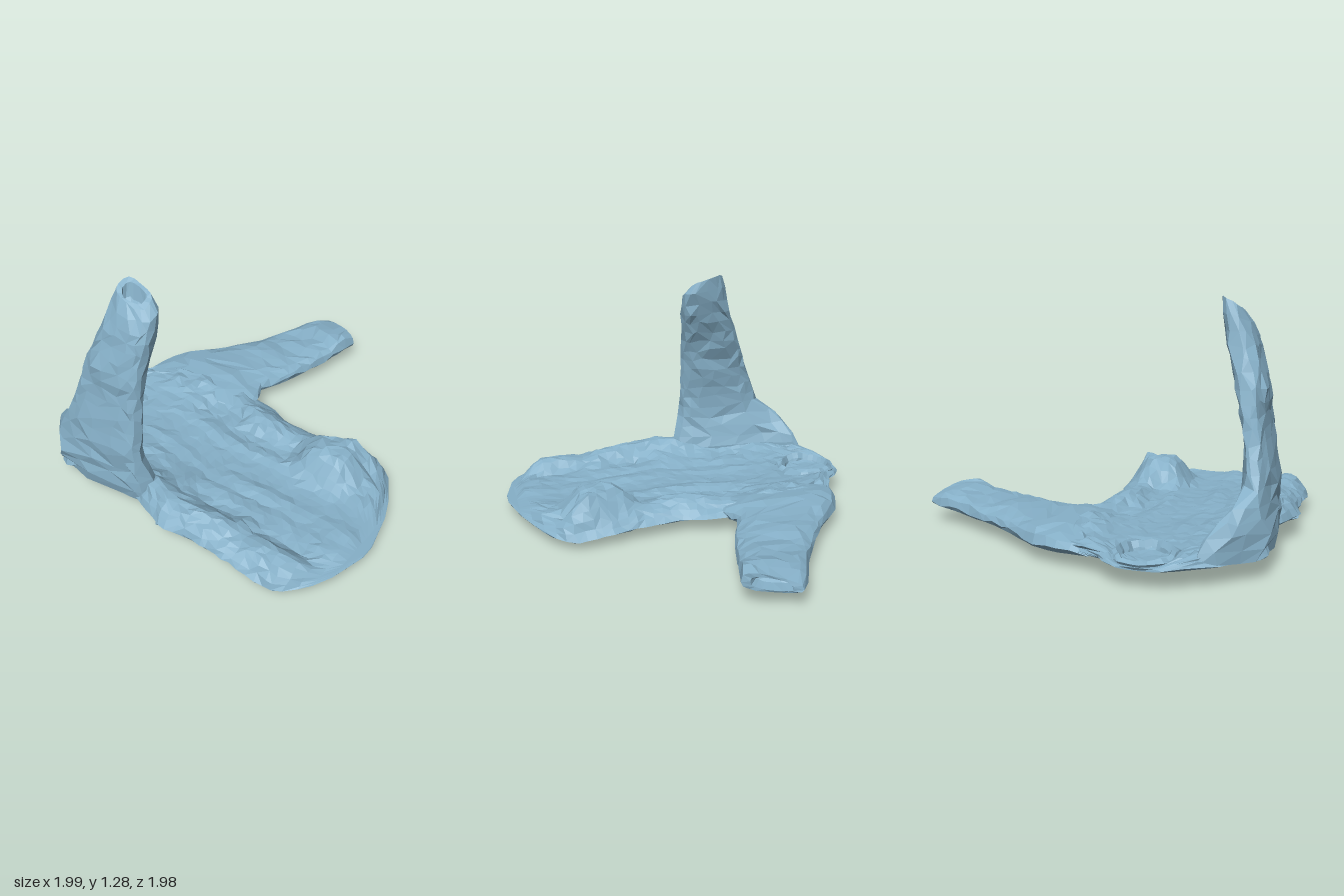
import * as THREE from 'three';

const cloth = new THREE.MeshStandardMaterial({ color: 0x86b0c8, flatShading: true, side: THREE.DoubleSide });
const { lerp, smoothstep } = THREE.MathUtils;

// Repeatable pseudo-random value and smooth noise for the creases
const hash = (i, j) => {
  const s = Math.sin(i * 127.1 + j * 311.7) * 43758.5453;
  return s - Math.floor(s);
};
function noise(x, y) {
  const i = Math.floor(x), j = Math.floor(y), fx = x - i, fy = y - j;
  return lerp(lerp(hash(i, j), hash(i + 1, j), fx), lerp(hash(i, j + 1), hash(i + 1, j + 1), fx), fy) * 2 - 1;
}
const jitter = (i, j) => hash(i + 0.3, j + 0.7) * 2 - 1;
const bump = (x, z, cx, cz, rx, rz, p = 2) =>
  Math.exp(-(Math.abs((x - cx) / rx) ** p) - Math.abs((z - cz) / rz) ** p);

// Interpolate the columns of a table whose first column is the key
function sample(table, k) {
  let i = 0;
  while (i < table.length - 2 && k > table[i + 1][0]) i++;
  const a = table[i], b = table[i + 1];
  const f = Math.min(1, Math.max(0, (k - a[0]) / (b[0] - a[0])));
  return a.map((v, c) => lerp(v, b[c], f));
}

// Skin closed cross-sections, optionally joining the last to the first
function loft(name, rings, loop = false) {
  const n = rings[0].length, idx = [];
  const last = loop ? rings.length : rings.length - 1;
  for (let r = 0; r < last; r++) {
    const s = (r + 1) % rings.length;
    for (let i = 0; i < n; i++) {
      const j = (i + 1) % n;
      const a = r * n + i, b = r * n + j, c = s * n + j, d = s * n + i;
      if (hash(r, i) > 0.5) idx.push(a, d, b, b, d, c);
      else idx.push(a, d, c, a, c, b);
    }
  }
  const geo = new THREE.BufferGeometry();
  geo.setAttribute('position', new THREE.Float32BufferAttribute(rings.flat(2), 3));
  geo.setIndex(idx);
  geo.computeVertexNormals();
  const mesh = new THREE.Mesh(geo, cloth);
  mesh.name = name;
  return mesh;
}

// Body outline: z, right edge x, left edge x, underside y, upper y
const BODY = [
  [-0.99, -0.54, -0.32, 0.095, 0.11], [-0.95, -0.61, -0.25, 0.085, 0.135],
  [-0.87, -0.74, -0.18, 0.075, 0.145], [-0.81, -0.80, 0.02, 0.07, 0.14],
  [-0.66, -0.95, 0.14, 0.06, 0.135], [-0.45, -0.91, 0.15, 0.055, 0.125],
  [-0.20, -0.91, 0.13, 0.045, 0.12], [-0.10, -0.94, 0.10, 0.04, 0.12],
  [0.05, -1.0, 0.08, 0.035, 0.12], [0.25, -0.97, 0.07, 0.02, 0.115],
  [0.50, -0.96, 0.11, 0.008, 0.115], [0.70, -0.96, 0.115, 0.00, 0.115],
  [0.78, -0.94, 0.06, 0.01, 0.12], [0.86, -0.86, -0.06, 0.035, 0.12],
  [0.92, -0.78, -0.18, 0.05, 0.12], [0.97, -0.65, -0.32, 0.07, 0.11], [0.99, -0.54, -0.44, 0.078, 0.09],
];

// Height of the upper cloth: raised sides, folds, neck hollow and front hem
function upperY(x, z, base) {
  const edge = smoothstep(Math.abs(x + 0.42), 0.16, 0.4);
  const back = smoothstep(z + 0.98, 0, 0.15);
  const sag = 0.03 * noise(z * 5, 12);
  let y = base + back * (
    0.145 * bump(x, z, -0.12, 0.53, 0.14, 0.17, 4)
    + 0.08 * bump(x, z, 0.03, 0.62, 0.06, 0.13, 4)
    + 0.06 * bump(x, z, -0.02 + sag, 0.18, 0.1, 0.26, 4)
    + 0.04 * bump(x, z, 0.08, -0.3, 0.15, 0.3, 4)
    + 0.12 * bump(x, z, -0.88, -0.60, 0.11, 0.18)
    + 0.10 * bump(x, z, -0.86, -0.16, 0.13, 0.2)
    + 0.08 * bump(x, z, -0.90 + sag, 0.2, 0.13, 0.32, 4)
    + 0.07 * bump(x, z, -0.86 + sag, 0.66, 0.1, 0.14, 4)
    + 0.012 * edge
    + (0.006 + 0.026 * edge) * noise(x * 7 + 3, z * 5 + 5)
    + 0.016 * edge * noise(x * 14 + z * 5, z * 9));
  // Long soft folds down the front
  const wander = 0.03 * noise(z * 3, 2);
  for (const fx of [-0.62, -0.5, -0.26, -0.15])
    y += (0.012 + 0.014 * noise(z * 3, fx * 40)) * bump(x, 0, fx + wander, 0, 0.045, 1) * smoothstep(z, -0.6, -0.4);
  const neck = bump(x, z, -0.415, -0.81, 0.14, 0.16, 6);
  const hem = smoothstep(0.925 - 0.5 * (x + 0.45) ** 2 - z, -0.01, 0.035);
  return lerp(0.088, lerp(y, 0.095, neck), hem);
}

function makeBody() {
  const rings = [], across = 30, under = 12, rows = 40;
  for (let r = 0; r <= rows; r++) {
    const z = lerp(-0.99, 0.99, r / rows), ring = [];
    const [, x0, x1, lo, hi] = sample(BODY, z);
    const loose = smoothstep(z, -0.97, -0.85) * smoothstep(0.9 - z, 0, 0.15);
    const high = 0.045 * smoothstep(z, -0.75, -0.5) * smoothstep(0.75 - z, 0, 0.3);
    const at = (u, top, i) => {
      const side = smoothstep(Math.abs(u), 0.25, 0.7), a = Math.abs(u);
      const x = lerp(x0, x1, (u + 1) / 2)
        + loose * (0.01 * jitter(r, i) - Math.sign(u) * 0.01 * a * noise(z * 9, u > 0 ? 8 : 3));
      const mid = lerp(lo, hi, 0.45) + (u < 0 ? high : high * 0.4);
      const floor = lo + loose * 0.004 * (1 + jitter(i, r));
      const crumple = loose * (0.003 + 0.007 * side) * jitter(r + 5, i * 3);
      const y = top ? lerp(mid, upperY(x, z, hi) + crumple, 1 - a ** 8) : lerp(floor, mid, a ** 5);
      ring.push([x, Math.max(0, y), z + loose * 0.012 * jitter(i, r + 2)]);
    };
    for (let i = 0; i <= across; i++)
      at(-Math.cos((i / across) * Math.PI) * 0.35 + (i / across * 2 - 1) * 0.65, true, i);
    for (let i = under - 1; i > 0; i--) at(Math.sin((i / under - 0.5) * Math.PI), false, i + 60);
    rings.push(ring);
  }
  return loft('shirtBody', rings);
}

// Flattened tube through stations, its open end turned inside at the cuff
function makeSleeve(name, table, place, steps) {
  const n = 16, rings = [];
  const first = table[0][0], end = table[table.length - 1][0];
  const add = (k, scale, rough) => {
    const ring = [], row = rings.length;
    for (let i = 0; i < n; i++) {
      const a = ((i + rough * jitter(i, row)) / n) * Math.PI * 2, c = Math.cos(a), d = Math.sin(a);
      const s = sample(table, k + rough * 0.04 * jitter(row, i));
      const crease = 1 + rough * (0.5 * noise(i * 0.6 + 4, row * 0.5) + 0.4 * jitter(i + 9, row));
      const u = Math.sign(c) * Math.abs(c) ** 0.8 * scale;
      const v = Math.sign(d) * Math.abs(d) ** 0.7 * scale * crease;
      ring.push(place(s, u, v));
    }
    rings.push(ring);
  };
  for (let i = 0; i <= steps; i++) add(lerp(first, end, i / steps), 1, i < steps ? 0.34 : 0.15);
  add(end, 0.7, 0.15);
  add(lerp(end, first, 0.06), 0.55, 0.15);
  add(lerp(end, first, 0.09), 0.05, 0);
  return loft(name, rings);
}

// Spread sleeve: key, back edge x z, front edge x z, low y, high y
const SPREAD = [
  [0, -0.14, -0.85, -0.05, -0.12, 0.07, 0.15], [0.12, 0.02, -0.83, 0.10, -0.13, 0.06, 0.17],
  [0.25, 0.17, -0.77, 0.20, -0.18, 0.06, 0.17], [0.42, 0.36, -0.61, 0.36, -0.11, 0.06, 0.17],
  [0.6, 0.54, -0.49, 0.52, -0.06, 0.065, 0.165], [0.78, 0.73, -0.38, 0.68, -0.02, 0.065, 0.165],
  [0.92, 0.91, -0.31, 0.80, 0.01, 0.075, 0.22], [1, 1.0, -0.25, 0.88, 0.03, 0.085, 0.20],
];
// The back edge lies low with a broad slope up to the ridge
const placeSpread = ([k, ax, az, bx, bz, lo, hi], u, v) => {
  const t = (1 - u) / 2;
  const high = lerp(lerp(hi, 0.145, smoothstep(k, 0.75, 1)), hi, t);
  const edge = lerp(lo, high, lerp(0.45, 0.3, smoothstep(u, 0, 1)));
  return [lerp(ax, bx, t), edge + v * (v > 0 ? high - edge : edge - lo), lerp(az, bz, t)];
};

// Raised sleeve: y, outer x, inner x, back z, front z
const RAISED = [
  [0.10, -0.94, -0.74, -0.89, -0.08], [0.20, -0.955, -0.75, -0.86, -0.09],
  [0.28, -0.95, -0.785, -0.81, -0.11], [0.35, -0.945, -0.80, -0.75, -0.13],
  [0.42, -0.945, -0.80, -0.65, -0.14], [0.60, -0.91, -0.79, -0.58, -0.14],
  [0.85, -0.885, -0.74, -0.50, -0.14], [1.05, -0.83, -0.67, -0.42, -0.12],
  [1.18, -0.78, -0.64, -0.38, -0.12], [1.24, -0.75, -0.64, -0.355, -0.17],
];
// The seam leans inward towards the back of the shoulder
const placeRaised = ([y, x0, x1, z0, z1], u, v) => {
  const z = (z0 + z1) / 2 + u * (z1 - z0) / 2;
  const lean = 0.16 * smoothstep(-z, 0.64, 0.92);
  return [(x0 + x1) / 2 + v * (x1 - x0) / 2 + lean, y + smoothstep(y, 1.0, 1.24) * (0.03 * v - 0.025 * u), z];
};

// Soft collar around the neck opening, widening to two points in front
function makeCollar() {
  const rings = [], n = 26;
  for (let i = 0; i < n; i++) {
    const a = (i / n) * Math.PI * 2, c = Math.cos(a), s = Math.sin(a);
    const point = bump(Math.abs(c), s, 0.66, 0.75, 0.28, 0.28);
    const back = Math.max(0, -s), j = 0.01 * jitter(i, 4);
    const fall = 0.045 + 0.07 * point + j;
    const rise = 0.145 + 0.008 * jitter(i, 9) - 0.012 * back;
    const p = (grow, y) => [-0.415 + c * (0.115 + grow), y, -0.815 + s * (0.13 + grow)];
    rings.push([p(-0.01, 0.09), p(j, rise - 0.03), p(0.018 + j, rise),
      p(fall * 0.8, rise - 0.012), p(fall, 0.12), p(fall - 0.02, 0.09)]);
  }
  return loft('collar', rings, true);
}

export function createModel() {
  const shirt = new THREE.Group();
  shirt.name = 'crumpledShirt';
  shirt.add(
    makeBody(),
    makeSleeve('leftSleeve', SPREAD, placeSpread, 16),
    makeSleeve('rightSleeve', RAISED, placeRaised, 18),
    makeCollar(),
  );
  return shirt;
}
